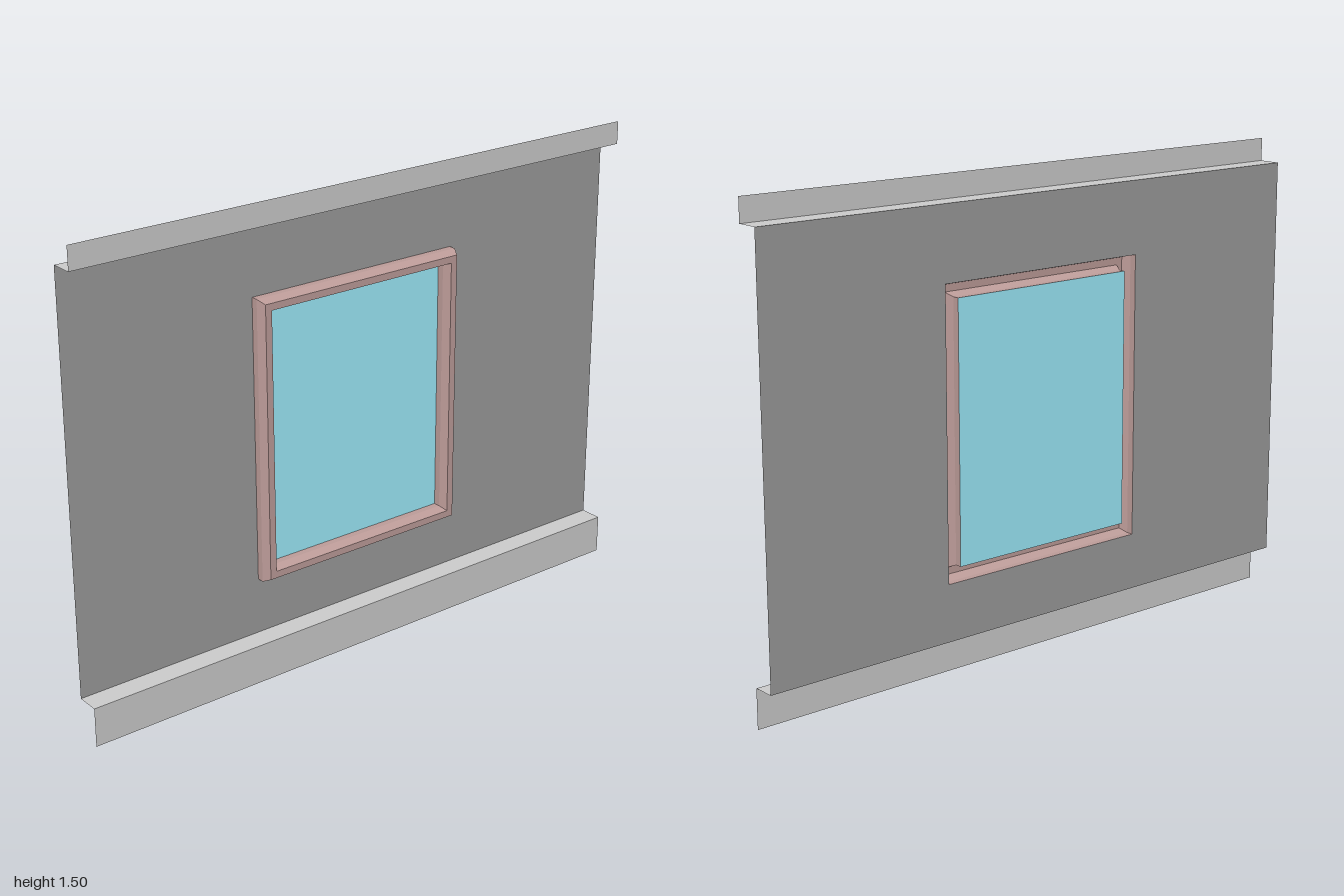
import * as THREE from 'three';

const BACK = -0.036, FRONT = 0.036;
const mat = (color) => new THREE.MeshStandardMaterial({ color, side: THREE.DoubleSide, flatShading: true });

function add(group, name, geometry, material, x, y, z) {
  const mesh = new THREE.Mesh(geometry, material);
  mesh.name = name;
  mesh.position.set(x, y, z);
  group.add(mesh);
  return mesh;
}

// Rectangular window casing: an open-backed profile [inset, z] swept round a mitred rectangle
function casingGeometry(halfW, halfH, profile) {
  const corners = [[-1, -1], [1, -1], [1, 1], [-1, 1]];
  const point = ([inset, z], [sx, sy]) => [sx * (halfW - inset), sy * (halfH - inset), z];
  const pos = [];
  for (let i = 0; i < profile.length - 1; i++) {
    for (let k = 0; k < 4; k++) {
      const c = corners[k], d = corners[(k + 1) % 4];
      const p = point(profile[i], c), q = point(profile[i], d);
      const r = point(profile[i + 1], d), s = point(profile[i + 1], c);
      pos.push(...p, ...q, ...r, ...p, ...r, ...s);
    }
  }
  const geo = new THREE.BufferGeometry();
  geo.setAttribute('position', new THREE.Float32BufferAttribute(pos, 3));
  geo.computeVertexNormals();
  return geo;
}

export function createModel() {
  const model = new THREE.Group();
  model.name = 'windowWall';
  const trim = mat(0xcccccc), wallMat = mat(0x9b9b9b), frameMat = mat(0xbd9c99), glassMat = mat(0x9debfb);

  const y0 = 0.125, y1 = 1.43, top = 1.503;
  const halfW = 0.37, halfH = 0.448, midY = 0.753, inset = 0.045;

  // Recessed wall sheet with the window opening
  const wall = new THREE.Shape([[-1, y0], [1, y0], [1, y1], [-1, y1]].map((p) => new THREE.Vector2(...p)));
  wall.holes.push(new THREE.Path([[-1, -1], [-1, 1], [1, 1], [1, -1]].map(
    ([x, y]) => new THREE.Vector2(x * halfW, midY + y * halfH))));
  add(model, 'wallPanel', new THREE.ShapeGeometry(wall), wallMat, 0, 0, BACK);

  // Skirting and cornice: a forward face plus the ledge that joins it to the wall
  for (const [name, lo, hi, ledgeY] of [['skirting', 0, y0, y0], ['cornice', y1, top, y1]]) {
    add(model, name + 'Face', new THREE.PlaneGeometry(2, hi - lo), trim, 0, (lo + hi) / 2, FRONT);
    const ledge = add(model, name + 'Ledge', new THREE.PlaneGeometry(2, FRONT - BACK), trim, 0, ledgeY, 0);
    ledge.rotation.x = name === 'skirting' ? -Math.PI / 2 : Math.PI / 2;
  }

  // Window casing with chamfered edges
  const profile = [[0, BACK], [0, -0.014], [0.012, 0.012], [0.034, 0.012], [inset, -0.014], [inset, BACK]];
  add(model, 'windowFrame', casingGeometry(halfW, halfH, profile), frameMat, 0, midY, 0);

  // Glass pane at the back of the casing
  add(model, 'glass', new THREE.PlaneGeometry(2 * (halfW - inset), 2 * (halfH - inset)), glassMat, 0, midY, BACK);

  return model;
}
